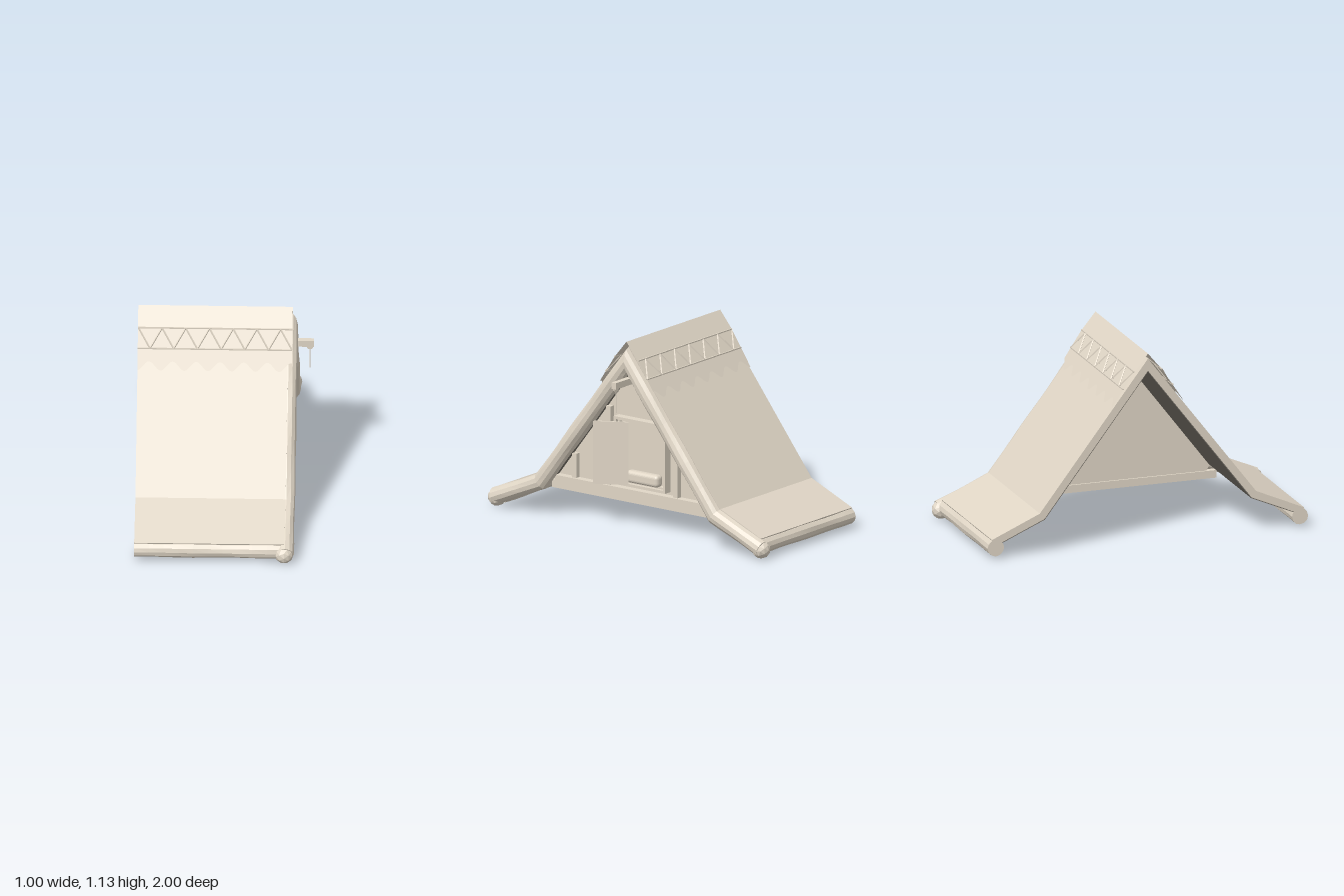
import * as THREE from 'three';
import { RoundedBoxGeometry } from 'three/addons/geometries/RoundedBoxGeometry.js';

const material = (name, color) => {
  const m = new THREE.MeshStandardMaterial({ color, flatShading: true, side: THREE.DoubleSide });
  m.name = name;
  return m;
};
const paleWood = material('paleWood', 0xe0d6c6);
const shadedLining = material('shadedLining', 0x78736a);

export function createModel() {
  const model = new THREE.Group();
  model.name = 'roofWithGable';

  const add = (name, geometry, mat = paleWood) => {
    const mesh = new THREE.Mesh(geometry, mat);
    mesh.name = name;
    model.add(mesh);
    return mesh;
  };
  const V = (x, y, z) => new THREE.Vector3(x, y, z);

  const box = (name, x0, x1, y0, y1, z0, z1) =>
    add(name, new THREE.BoxGeometry(x1 - x0, y1 - y0, z1 - z0))
      .position.set((x0 + x1) / 2, (y0 + y1) / 2, (z0 + z1) / 2);

  // Square bar between two points
  const bar = (name, a, b, w, d = w) => {
    const mesh = add(name, new THREE.BoxGeometry(w, d, a.distanceTo(b)));
    mesh.position.copy(a).lerp(b, 0.5);
    mesh.lookAt(b);
  };

  // Profile of [z, y] points extruded from x0 to x1
  const outline = (pts, Type = THREE.Shape) =>
    new Type(pts.map(([z, y]) => new THREE.Vector2(-z, y)));
  const slab = (name, shape, x0, x1, mat) => {
    const g = new THREE.ExtrudeGeometry(shape, { depth: x1 - x0, bevelEnabled: false });
    g.rotateY(Math.PI / 2).translate(x0, 0, 0);
    add(name, g, mat);
  };

  // Hewn log: mitred rings along a flat polyline, closed at both ends
  const log = (name, corners, side, r, seed) => {
    const pts = [corners[0]];
    for (let i = 1; i < corners.length; i++) {
      const n = Math.ceil(corners[i].distanceTo(corners[i - 1]) / 0.09);
      for (let k = 1; k <= n; k++) pts.push(corners[i - 1].clone().lerp(corners[i], k / n));
    }
    const last = pts.length - 1, sides = 12, verts = [], index = [];
    const ring = (c, i, size) => {
      const tin = pts[Math.max(i, 1)].clone().sub(pts[Math.max(i, 1) - 1]).normalize();
      const j0 = Math.min(i, last - 1);
      const tout = pts[j0 + 1].clone().sub(pts[j0]).normalize();
      const t = tin.clone().add(tout).normalize();
      const up = side.clone().cross(t).divideScalar(t.dot(tin));
      const wobble = 0.97 + 0.03 * Math.sin(i * 1.3 + seed);
      for (let j = 0; j < sides; j++) {
        const a = (j / sides) * Math.PI * 2;
        const s = r * size * (wobble + 0.02 * Math.sin(i * 0.8 + j * 2.1 + seed));
        verts.push(...c.clone().addScaledVector(side, Math.cos(a) * s).addScaledVector(up, Math.sin(a) * s));
      }
    };
    ring(pts[0], 0, 0);
    pts.forEach((c, i) => ring(c, i, 1));
    ring(pts[last], last, 0);
    for (let i = 0; i < last + 2; i++) {
      for (let j = 0; j < sides; j++) {
        const a = i * sides + j, b = i * sides + ((j + 1) % sides);
        index.push(a, b, a + sides, b, b + sides, a + sides);
      }
    }
    const g = new THREE.BufferGeometry();
    g.setAttribute('position', new THREE.Float32BufferAttribute(verts, 3));
    g.setIndex(index);
    g.computeVertexNormals();
    add(name, g);
  };

  // Roof covering with flared eaves, and its dark lining
  const mirrored = (half) => [...half, ...half.slice(0, -1).reverse().map(([z, y]) => [-z, y])];
  const upper = mirrored([[0.945, 0.118], [0.655, 0.245], [0, 1.1]]);
  const under = mirrored([[0.928, 0.079], [0.627, 0.21], [0, 1.028]]);
  const lining = mirrored([[0.926, 0.075], [0.624, 0.206], [0, 1.022]]);
  slab('roofCovering', outline([...upper, ...under.reverse()]), -0.5, 0.355);
  slab('roofLining', outline([...under, ...lining]), -0.499, 0.354, shadedLining);

  // Gable log, bent at the eaves and at the ridge
  log('gableLog', [
    V(0.36, 0.06, 0.955), V(0.36, 0.202, 0.623), V(0.36, 1.016, 0),
    V(0.36, 0.202, -0.623), V(0.36, 0.06, -0.955),
  ], V(1, 0, 0), 0.05, 1);

  const period = 0.135;
  for (const s of [1, -1]) {
    // Eave log and the knob where it meets the gable log
    log('eaveLog', [V(-0.5, 0.068, s * 0.921), V(0.34, 0.068, s * 0.921)], V(0, 0, 1), 0.05, 2 + s);
    add('logKnob', new THREE.IcosahedronGeometry(0.054, 1)).position.set(0.354, 0.056, s * 0.946);

    // Thin sheets draped over the ridge
    const strip = (name, a, b, rule) => {
      const g = new THREE.PlaneGeometry(1, 1, 80, 3);
      const pos = g.attributes.position;
      for (let i = 0; i < pos.count; i++) {
        const x = -0.06 + 0.88 * pos.getX(i);
        const e = (0.5 - pos.getY(i)) * rule(x);
        pos.setXYZ(i, x, a[1] + (b[1] - a[1]) * e, s * (a[0] + (b[0] - a[0]) * e));
      }
      g.computeVertexNormals();
      add(name, g);
    };
    strip('ridgeCap', [0, 1.13], [0.083, 1.03], () => 1);
    strip('latticeBand', [0.083, 1.03], [0.15, 0.93], () => 1);
    strip('scallopedValance', [0.15, 0.93], [0.218, 0.826],
      (x) => 0.79 - 0.21 * Math.cos((x + 0.435) * 2 * Math.PI / period));

    // Lattice of rails and zigzag bars
    const top = (x) => V(x, 1.03, s * 0.084), low = (x) => V(x, 0.932, s * 0.15);
    bar('latticeRail', top(-0.5), top(0.38), 0.007);
    bar('latticeRail', low(-0.5), low(0.38), 0.007);
    for (let i = 0; i < 7; i++) {
      const x = -0.4975 + i * period;
      bar('latticeBar', top(x), low(x + period / 2), 0.007);
      if (i < 6) bar('latticeBar', low(x + period / 2), top(x + period), 0.007);
    }

    // Gable posts
    box('outerPost', 0.2, 0.235, 0.21, 0.36, s * 0.485 - 0.015, s * 0.485 + 0.015);
    box('innerPost', 0.2, 0.235, 0.21, 0.68, s * 0.24 - 0.016, s * 0.24 + 0.016);
  }

  // Gable wall
  slab('gableWall', outline([[0.6, 0.17], [0.622, 0.206], [0, 1.02], [-0.622, 0.206], [-0.6, 0.17]]), 0.19, 0.205);

  // Sill beams
  box('sillBeam', 0.19, 0.25, 0.182, 0.217, -0.61, 0.61);
  box('lowerSillBeam', 0.18, 0.215, 0.13, 0.175, -0.66, 0.66);

  // Window frame, inner frame and the bundle on its ledge
  const rect = (z0, z1, y0, y1, Type) => outline([[z0, y0], [z1, y0], [z1, y1], [z0, y1]], Type);
  const frame = (name, z0, z1, y0, y1, w, x1) => {
    const shape = rect(z0, z1, y0, y1);
    shape.holes.push(rect(z0 + w, z1 - w, y0 + w, y1 - w, THREE.Path));
    slab(name, shape, 0.2, x1);
  };
  frame('windowFrame', -0.182, 0.187, 0.235, 0.635, 0.016, 0.255);
  frame('innerWindowFrame', -0.166, 0.171, 0.251, 0.619, 0.01, 0.235);
  add('ledgeBundle', new RoundedBoxGeometry(0.06, 0.072, 0.23, 3, 0.022)).position.set(0.232, 0.294, -0.015);

  // Shutter standing open
  bar('windowShutter', V(0.268, 0.435, 0.07), V(0.365, 0.435, 0.25), 0.012, 0.37);

  // Hoist beam with pulley and line
  box('hoistBeam', 0.2, 0.5, 0.875, 0.913, -0.016, 0.016);
  const pulley = add('hoistPulley', new THREE.CylinderGeometry(0.02, 0.02, 0.012, 12));
  pulley.rotation.x = Math.PI / 2;
  pulley.position.set(0.478, 0.873, 0);
  add('hoistLine', new THREE.CylinderGeometry(0.0025, 0.0025, 0.14, 6)).position.set(0.478, 0.8, 0);

  return model;
}
